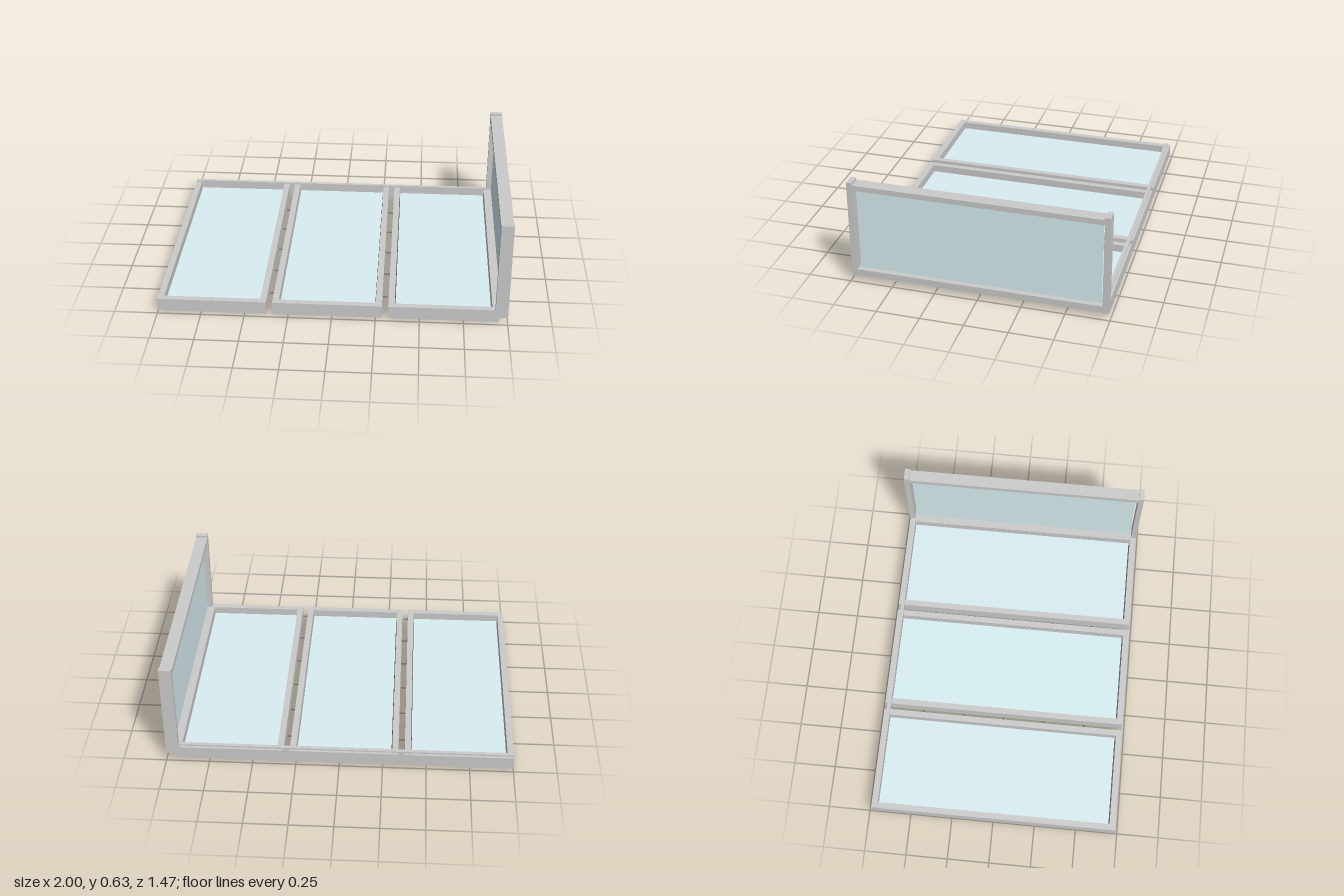
import * as THREE from 'three';

const grey = new THREE.MeshStandardMaterial({ color: 0xcccccc });
const glassMat = new THREE.MeshStandardMaterial({ color: 0xd9eff3 });
const sealMat = new THREE.MeshStandardMaterial({ color: 0x444444 });

// Box given by its minimum and maximum corners
function box(parent, name, material, [x0, y0, z0], [x1, y1, z1]) {
  const mesh = new THREE.Mesh(new THREE.BoxGeometry(x1 - x0, y1 - y0, z1 - z0), material);
  mesh.position.set((x0 + x1) / 2, (y0 + y1) / 2, (z0 + z1) / 2);
  mesh.name = name;
  parent.add(mesh);
}

// Counter-clockwise corners of a rectangle in shape space, where shape y is -z
function corners(x0, x1, z0, z1) {
  return [[x0, -z1], [x1, -z1], [x1, -z0], [x0, -z0]].map(p => new THREE.Vector2(...p));
}

// Flat rectangular ring lying in xz, from y0 to y1, with bars of width w
function ring(parent, name, material, [x0, y0, z0], [x1, y1, z1], w) {
  const shape = new THREE.Shape(corners(x0, x1, z0, z1));
  shape.holes.push(new THREE.Path(corners(x0 + w, x1 - w, z0 + w, z1 - w).reverse()));
  const geometry = new THREE.ExtrudeGeometry(shape, { depth: y1 - y0, bevelEnabled: false });
  geometry.rotateX(-Math.PI / 2).translate(0, y0, 0);
  const mesh = new THREE.Mesh(geometry, material);
  mesh.name = name;
  parent.add(mesh);
}

export function createModel() {
  const model = new THREE.Group();
  model.name = 'framedPanels';

  // Three flat framed panes side by side
  for (let i = 0; i < 3; i++) {
    const panel = new THREE.Group();
    panel.name = 'floorPanel' + (i + 1);
    const x0 = -1 + i * 0.661, x1 = x0 + 0.625;
    ring(panel, 'panelFrame', grey, [x0, 0.01, -0.735], [x1, 0.087, 0.735], 0.036);
    ring(panel, 'panelSeal', sealMat, [x0 + 0.028, 0, -0.697], [x1 - 0.028, 0.012, 0.71], 0.015);
    box(panel, 'panelGlass', glassMat, [x0 + 0.04, 0.035, -0.697], [x1 - 0.04, 0.045, 0.694]);
    model.add(panel);
  }

  // Rail joining the panels along the back
  box(model, 'backRail', grey, [-0.999, 0.014, -0.72], [0.93, 0.096, -0.698]);

  // Upright framed pane at the end
  const upright = new THREE.Group();
  upright.name = 'uprightPanel';
  for (const s of [-1, 1]) {
    const z = [s * 0.705, s * 0.737].sort((a, b) => a - b);
    box(upright, 'post', grey, [0.928, 0.04, z[0]], [1, 0.635, z[1]]);
  }
  box(upright, 'topRail', grey, [0.928, 0.59, -0.705], [1, 0.622, 0.705]);
  box(upright, 'bottomRail', grey, [0.928, 0.05, -0.705], [1, 0.085, 0.705]);
  box(upright, 'uprightGlass', glassMat, [0.959, 0.085, -0.694], [0.969, 0.59, 0.694]);
  model.add(upright);

  return model;
}
